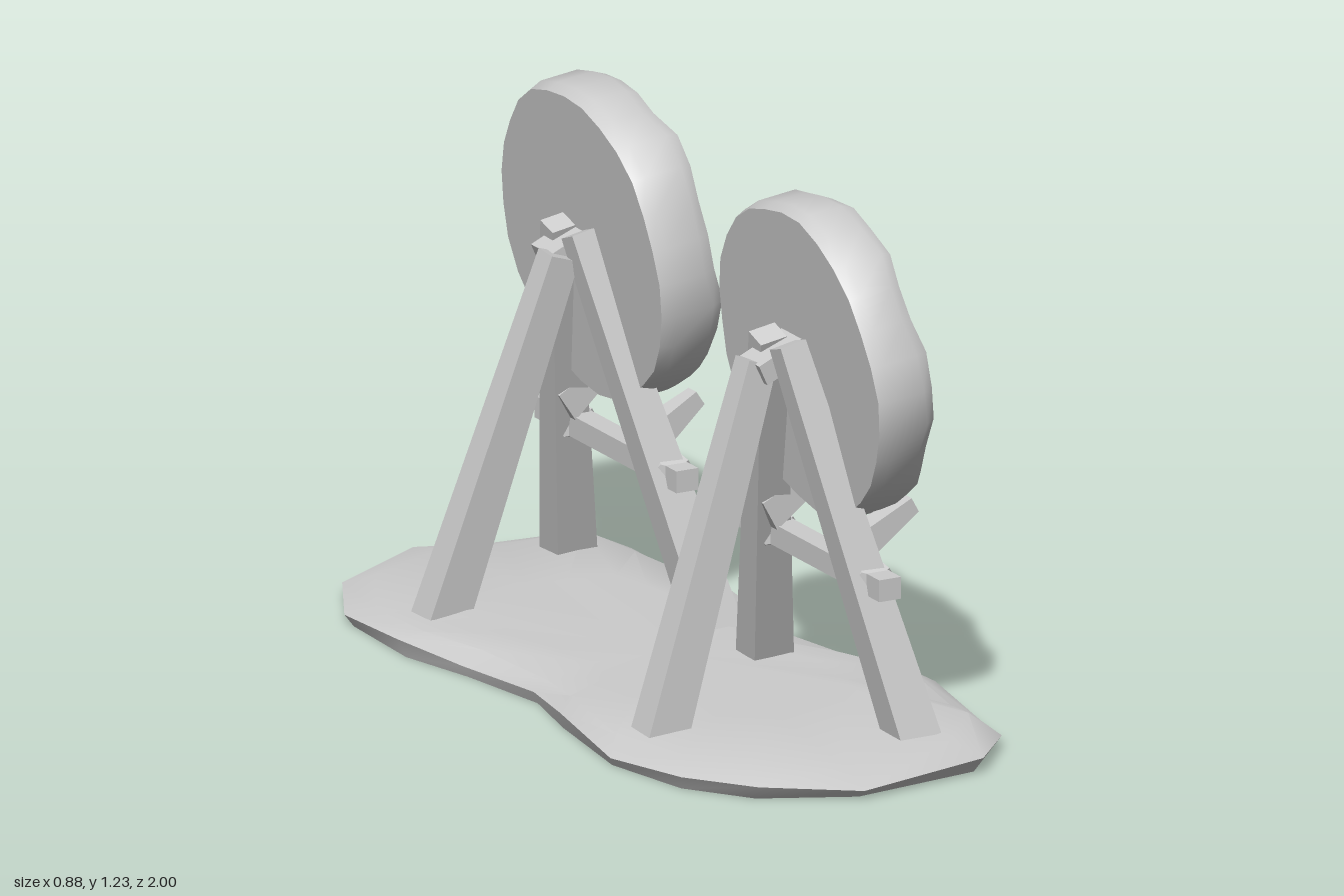
import * as THREE from 'three';
import { toCreasedNormals, mergeVertices } from 'three/addons/utils/BufferGeometryUtils.js';

const stone = new THREE.MeshStandardMaterial({ color: 0xcccccc });
stone.name = 'pale grey';

const V = (x, y, z) => new THREE.Vector3(x, y, z);

function add(parent, geometry, name) {
  const mesh = new THREE.Mesh(geometry, stone);
  mesh.name = name;
  parent.add(mesh);
  return mesh;
}

// Four-sided tapered timber running from a to b; w along x, d along z
function beam(parent, name, a, b, w, d, taper = 1) {
  const dir = b.clone().sub(a);
  const g = new THREE.BoxGeometry(w, dir.length(), d);
  const p = g.attributes.position;
  for (let i = 0; i < p.count; i++) {
    if (p.getY(i) > 0) p.setXYZ(i, p.getX(i) * taper, p.getY(i), p.getZ(i) * taper);
  }
  const mesh = add(parent, g, name);
  mesh.position.copy(a).add(b).multiplyScalar(0.5);
  mesh.quaternion.setFromUnitVectors(V(0, 1, 0), dir.normalize());
  return mesh;
}

// Waisted ground slab built from rings of one outline
function groundSlab() {
  const outline = [
    [-0.08, -1], [0.1, -0.99], [0.29, -0.94], [0.34, -0.77], [0.36, -0.55], [0.37, -0.36],
    [0.34, -0.03], [0.36, 0.2], [0.44, 0.42], [0.41, 0.68], [0.39, 0.81], [0.26, 0.96],
    [-0.06, 1], [-0.27, 0.9], [-0.38, 0.75], [-0.43, 0.52], [-0.39, 0.22], [-0.35, 0.03],
    [-0.39, -0.22], [-0.44, -0.42], [-0.43, -0.68], [-0.33, -0.87],
  ];
  const n = outline.length;
  // scale and height of each ring, underside to top
  const rings = [[0, 0], [0.97, 0], [1, 0.03], [0.9, 0.058], [0.55, 0.068], [0, 0.058]];
  const pos = [], index = [];
  rings.forEach(([s, y], r) => outline.forEach(([x, z], i) => {
    const bump = r === 2 || r === 3 ? 0.009 * Math.sin(i * 2.3 + r) : 0;
    pos.push(x * s, y + bump, z * s);
  }));
  for (let r = 0; r < rings.length - 1; r++) {
    for (let i = 0; i < n; i++) {
      const j = (i + 1) % n, a = r * n + i, b = r * n + j, c = a + n, d = b + n;
      if (r > 0) index.push(a, c, b);
      if (r < rings.length - 2) index.push(b, c, d);
      if (r === 0) index.push(a, c, d);
    }
  }
  const g = new THREE.BufferGeometry();
  g.setAttribute('position', new THREE.Float32BufferAttribute(pos, 3));
  g.setIndex(index);
  return toCreasedNormals(g, 0.6);
}

// Thick straw disc with a lumpy, ringed face; its axis is y
function discGeometry(R, thick, phase) {
  const h = thick / 2;
  const profile = [
    [0, -h], [R * 0.97, -h], [R, -h * 0.6], [R, h * 0.6], [R * 0.96, h],
    [R * 0.84, h * 1.02], [R * 0.7, h * 0.98], [R * 0.57, h * 0.72],
    [R * 0.44, h * 0.95], [R * 0.3, h * 0.95], [R * 0.18, h * 0.72], [0, h * 0.9],
  ].map(([x, y]) => new THREE.Vector2(x, y));
  let g = new THREE.LatheGeometry(profile, 28);
  g.deleteAttribute('uv');
  g.deleteAttribute('normal');
  const p = g.attributes.position;
  for (let i = 0; i < p.count; i++) {
    const x = p.getX(i), y = p.getY(i), z = p.getZ(i);
    const r = Math.hypot(x, z), t = Math.atan2(z, x);
    const edge = 1 + (r / R) * 0.012 * Math.sin(5 * t + phase) + (r / R) * 0.008 * Math.sin(9 * t);
    const lump = y > h * 0.5 && r > 0.01
      ? 0.007 * Math.sin(6 * t + r * 30 + phase) + 0.005 * Math.sin(11 * t - r * 18) : 0;
    p.setXYZ(i, x * edge, y + lump, z * edge);
  }
  g = mergeVertices(g, 1e-4);
  return toCreasedNormals(g, 0.7);
}

function archeryTarget(o) {
  const target = new THREE.Group();
  target.name = o.name;

  // Disc leaning back toward the rear leg
  const disc = add(target, discGeometry(0.363, o.thick, o.phase), 'targetDisc');
  disc.position.set(o.x, o.y, o.z);
  disc.rotation.z = -Math.PI / 2 + 0.125;

  // Two splayed front legs with joints and disc supports
  const apex = V(0.02, 0.9, o.z);
  for (const side of [1, -1]) {
    const foot = V(0.185, 0.04, o.legZ + side * 0.335);
    const top = apex.clone().add(V(0, 0, side * 0.045));
    beam(target, 'frontLeg', foot, top, 0.1, 0.085, 0.65);
    const at = y => foot.clone().lerp(top, (y - foot.y) / (top.y - foot.y));

    const joint = add(target, new THREE.DodecahedronGeometry(0.06), 'legJoint');
    joint.position.copy(at(0.39)).add(V(0.015, 0, 0));
    joint.scale.set(1, 0.8, 0.95);

    const peg = at(0.5);
    beam(target, 'discSupport', peg.clone().add(V(-0.01, -0.06, 0)),
      V(o.pegX, 0.535, peg.z), 0.075, 0.07, 0.5);
  }

  // Crossbar overhanging both legs
  beam(target, 'crossbar', V(0.135, 0.39, o.barZ - 0.32), V(0.135, 0.39, o.barZ + 0.32), 0.055, 0.05);

  // Rear leg and the bracket fixing it to the disc
  beam(target, 'rearLeg', V(-0.295, 0.03, o.rearZ), V(-0.02, 0.85, o.rearZ - 0.05 * Math.sign(o.z)),
    0.1, 0.085, 0.72);
  beam(target, 'bracket', V(-0.03, 0.83, o.z - 0.02), V(0.08, 0.88, o.z - 0.02), 0.05, 0.09);
  return target;
}

export function createModel() {
  const model = new THREE.Group();
  model.name = 'archeryRange';
  add(model, groundSlab(), 'groundSlab');
  model.add(archeryTarget({
    name: 'nearTarget', x: 0.14, y: 0.85, z: 0.465, thick: 0.135, phase: 0.4,
    legZ: 0.445, barZ: 0.445, rearZ: 0.49, pegX: 0.26,
  }));
  model.add(archeryTarget({
    name: 'farTarget', x: 0.122, y: 0.866, z: -0.475, thick: 0.145, phase: 2.1,
    legZ: -0.44, barZ: -0.47, rearZ: -0.5, pegX: 0.23,
  }));
  return model;
}
